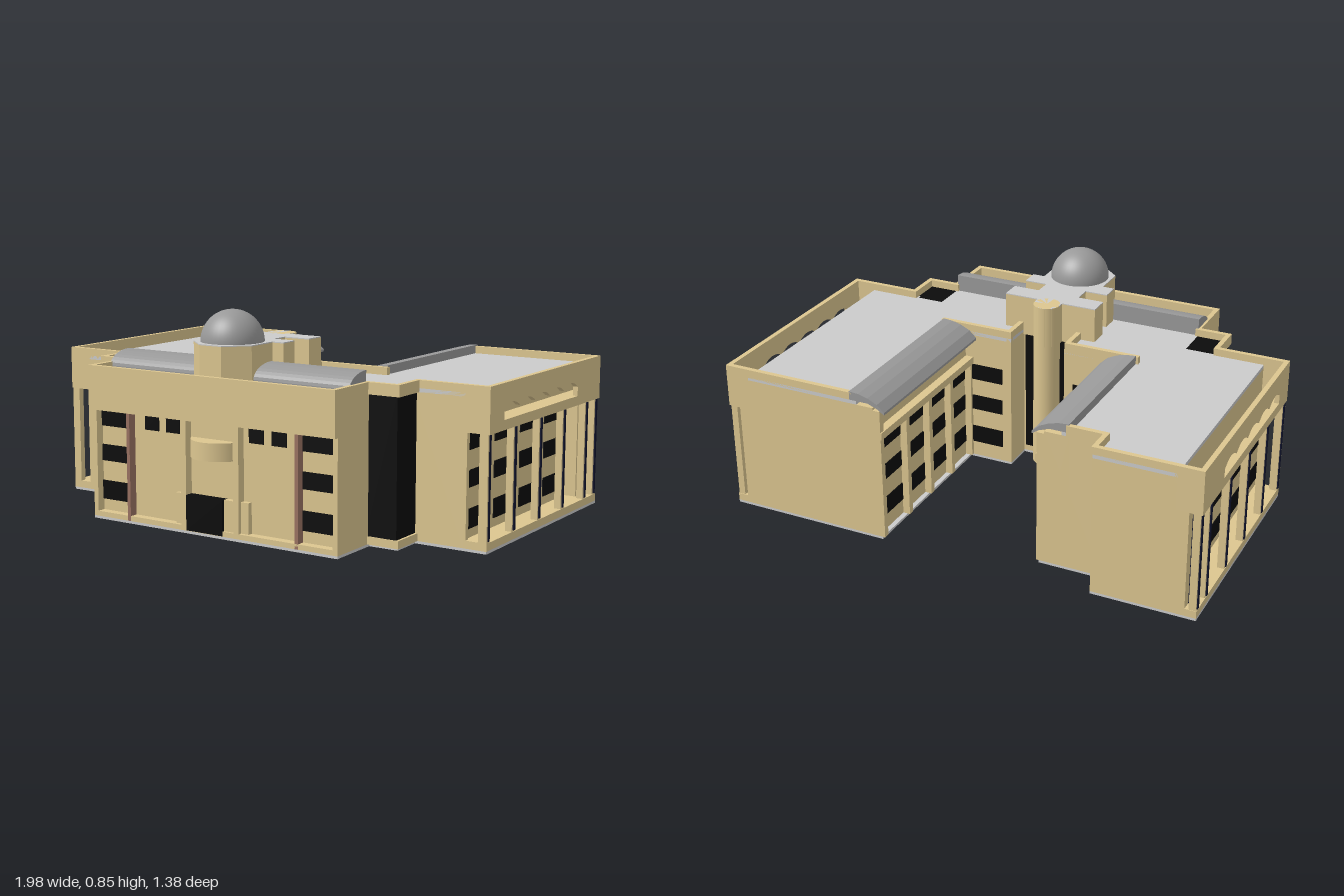
import * as THREE from 'three';

const mat = (color, side = THREE.FrontSide) => new THREE.MeshStandardMaterial({ color, side });
const STONE = mat(0xdcc690), ROOF = mat(0xcccccc), METAL = mat(0x999999, THREE.DoubleSide);
const GLASS = mat(0x0b0b0b), NAVY = mat(0x10142e), BROWN = mat(0x9a7262);
const V = (x, y) => new THREE.Vector2(x, y);

export function createModel() {
  const model = new THREE.Group();

  const add = (name, geometry, material) => {
    const mesh = new THREE.Mesh(geometry, material);
    mesh.name = name;
    model.add(mesh);
    return mesh;
  };
  // Box given by its limits on each axis
  const box = (name, m, x0, x1, y0, y1, z0, z1) => {
    const g = new THREE.BoxGeometry(Math.abs(x1 - x0), y1 - y0, Math.abs(z1 - z0));
    add(name, g.translate((x0 + x1) / 2, (y0 + y1) / 2, (z0 + z1) / 2), m);
  };
  // Plan outline of [x, z] points raised from y0 to y1
  const slab = (name, m, outline, y0, y1) => {
    const shape = new THREE.Shape(outline.map(([x, z]) => V(x, -z)));
    const g = new THREE.ExtrudeGeometry(shape, { depth: y1 - y0, bevelEnabled: false });
    add(name, g.rotateX(-Math.PI / 2).translate(0, y0, 0), m);
  };
  // Section drawn in [-z, y], run along x from x0 to x1
  const runX = (name, m, shape, x0, x1) => {
    const g = new THREE.ExtrudeGeometry(shape, { depth: x1 - x0, bevelEnabled: false });
    add(name, g.rotateY(Math.PI / 2).translate(x0, 0, 0), m);
  };
  // Wall along an axis-aligned path of [x, z] points
  const wall = (name, m, path, y0, y1, t) => {
    for (let i = 1; i < path.length; i++) {
      const [a, b] = [path[i - 1], path[i]], h = t / 2;
      box(name, m, Math.min(a[0], b[0]) - h, Math.max(a[0], b[0]) + h, y0, y1,
        Math.min(a[1], b[1]) - h, Math.max(a[1], b[1]) + h);
    }
  };

  // Plan of the building; w is the wing half-width, c the court wall, f the front wall
  const plan = (w, c, f, k) => [
    [w, -0.685], [w, 0.3], [k, 0.3], [k, 0.43], [0.57, 0.43], [0.57, f],
    [-0.57, f], [-0.57, 0.43], [-k, 0.43], [-k, 0.3], [-w, 0.3], [-w, -0.685],
    [-0.57, -0.685], [-0.57, -0.575], [-c, -0.575], [-c, 0.07], [-0.12, 0.07],
    [-0.12, 0.2], [0.12, 0.2], [0.12, 0.07], [c, 0.07], [c, -0.685]];
  slab('groundSlab', ROOF, plan(0.985, 0.31, 0.65, 0.69), 0, 0.01);
  slab('mainBody', STONE, plan(0.89, 0.33, 0.615, 0.68), 0.01, 0.57);
  slab('flatRoof', ROOF, plan(0.89, 0.4, 0.6, 0.68), 0.57, 0.585);

  // Parapets
  const z0 = 0.29;
  wall('frontParapet', STONE, [[0.98, z0], [0.69, z0], [0.69, 0.435], [0.56, 0.435], [0.56, 0.66],
    [-0.56, 0.66], [-0.56, 0.435], [-0.69, 0.435], [-0.69, z0], [-0.98, z0]], 0.57, 0.615, 0.02);
  wall('leftBackParapet', STONE, [[0.98, -0.675], [0.43, -0.675]], 0.57, 0.615, 0.02);
  wall('rightBackParapet', STONE, [[-0.98, -0.675], [-0.575, -0.675], [-0.575, -0.57], [-0.43, -0.57]],
    0.57, 0.615, 0.02);
  const rows = [[0.075, 0.15], [0.23, 0.295], [0.37, 0.438]];

  for (const s of [-1, 1]) {
    const back = s > 0 ? -0.685 : -0.575;
    wall('courtParapet', STONE, [[s * 0.43, 0.08], [s * 0.13, 0.08], [s * 0.13, 0.2]], 0.57, 0.615, 0.02);

    // Dark glazed corner between wing and front block
    box('cornerGlass', GLASS, s * 0.56, s * 0.69, 0.04, 0.585, 0.29, 0.44);
    box('cornerBase', STONE, s * 0.56, s * 0.7, 0.01, 0.04, 0.29, 0.445);

    // Outer gallery: floor, ceiling, end walls
    box('galleryFloor', STONE, s * 0.88, s * 0.985, 0.01, 0.04, -0.685, 0.3);
    box('galleryCeiling', STONE, s * 0.88, s * 0.985, 0.44, 0.47, -0.685, 0.3);
    box('galleryFrontPost', STONE, s * 0.95, s * 0.985, 0.04, 0.44, 0.28, 0.3);
    box('galleryFrontJamb', STONE, s * 0.88, s * 0.9, 0.04, 0.44, 0.28, 0.3);
    box('galleryFrontTop', STONE, s * 0.88, s * 0.985, 0.47, 0.59, 0.28, 0.3);
    box('galleryBackTop', STONE, s * 0.88, s * 0.985, 0.47, 0.59, -0.685, -0.665);
    box('galleryBackWall', STONE, s * 0.88, s * 0.94, 0.04, 0.44, -0.685, -0.585);
    box('galleryBackPanel', NAVY, s * 0.93, s * 0.955, 0.02, 0.41, -0.645, -0.605);

    // Upper gallery wall with a scalloped opening
    const shape = new THREE.Shape([V(-0.3, 0.44), V(0.685, 0.44), V(0.685, 0.615), V(-0.3, 0.615)]);
    const hole = new THREE.Path().moveTo(-0.185, 0.478);
    hole.lineTo(-0.185, 0.515);
    for (let i = 0; i < 5; i++) {
      const a = -0.185 + i * 0.13;
      hole.quadraticCurveTo(a + 0.065, 0.56, a + 0.13, 0.515);
    }
    hole.lineTo(0.465, 0.478);
    shape.holes.push(hole);
    runX('scallopedWall', STONE, shape, s > 0 ? 0.97 : -0.99, s > 0 ? 0.99 : -0.97);

    // Gallery columns with dark inlays
    for (const z of [0.285, 0.075, -0.145, -0.36, -0.575, -0.668]) {
      box('galleryColumn', STONE, s * 0.955, s * 0.983, 0.01, 0.44, z - 0.015, z + 0.015);
      box('columnInlay', NAVY, s * 0.96, s * 0.987, 0.045, 0.438, z - 0.007, z + 0.007);
    }
    for (const [a, b] of rows) {
      for (let i = 0; i < 4; i++) {
        const z = 0.19 - i * 0.217;
        box('galleryWindow', GLASS, s * 0.87, s * 0.894, a, b, z - 0.09, z + 0.09);
      }
      box('frontWindow', GLASS, s * 0.395, s * 0.565, a, b, 0.6, 0.62);
      box('courtEndWindow', GLASS, s * 0.16, s * 0.3, a, b, 0.066, 0.09);
    }
    for (const x of [0.195, 0.297])
      box('smallFrontWindow', GLASS, s * (x - 0.033), s * (x + 0.033), 0.375, 0.435, 0.6, 0.62);

    // Courtyard facade: windows, pillars, ledge and end fin
    const bay = (0.04 - back) / 4;
    for (let i = 0; i < 4; i++) {
      const z = back + 0.03 + bay * (i + 0.5);
      for (const [a, b] of rows)
        box('courtWindow', GLASS, s * 0.326, s * 0.35, a, b, z - bay * 0.4, z + bay * 0.4);
      box('courtPillar', STONE, s * 0.3, s * 0.34, 0.01, 0.45, z + bay / 2 - 0.015, z + bay / 2 + 0.01);
    }
    box('courtLedge', STONE, s * 0.295, s * 0.35, 0.44, 0.47, back, 0.075);
    box('courtEndFin', STONE, s * 0.3, s * 0.43, 0.01, 0.56, back, back + 0.025);

    // Curved eave over the courtyard facade
    const eave = new THREE.Shape([[0.43, 0.62], [0.39, 0.617], [0.35, 0.607], [0.31, 0.588], [0.28, 0.56],
      [0.28, 0.55], [0.31, 0.57], [0.35, 0.585], [0.43, 0.585]].map(([x, y]) => V(s * x, y)));
    const g = new THREE.ExtrudeGeometry(eave, { depth: 0.07 - back, bevelEnabled: false });
    add('courtEave', g.translate(0, 0, back), METAL);

    // Quarter vault on the front block
    const vault = new THREE.Shape([V(-0.55, 0.58)]);
    for (let i = 0; i <= 8; i++) {
      const a = i / 8 * Math.PI / 2;
      vault.lineTo(-0.435 - 0.115 * Math.cos(a), 0.6 + 0.057 * Math.sin(a));
    }
    vault.lineTo(-0.435, 0.58);
    runX('roofVault', METAL, vault, s > 0 ? 0.12 : -0.56, s > 0 ? 0.555 : -0.12);

    // Front facade uprights
    box('frontEndWall', STONE, s * 0.55, s * 0.57, 0.01, 0.45, 0.6, 0.65);
    box('frontPost', BROWN, s * 0.385, s * 0.4, 0.01, 0.44, 0.61, 0.65);
    box('entrancePost', STONE, s * 0.11, s * 0.135, 0.01, 0.44, 0.61, 0.65);
    box('entrancePier', STONE, s * 0.135, s * 0.17, 0.01, 0.15, 0.61, 0.635);
  }

  // Front overhang, base, door and round balcony
  box('frontOverhang', STONE, -0.57, 0.57, 0.44, 0.575, 0.6, 0.67);
  box('frontBase', STONE, -0.57, 0.57, 0.01, 0.03, 0.6, 0.65);
  box('entranceDoor', GLASS, -0.11, 0.06, 0.012, 0.15, 0.6, 0.652);
  box('entranceSide', STONE, 0.06, 0.11, 0.01, 0.15, 0.6, 0.64);
  add('balcony', new THREE.CylinderGeometry(0.115, 0.115, 0.07, 32).translate(0, 0.335, 0.575), STONE);

  // Courtyard glazing and round stair shaft
  box('stairGlass', GLASS, -0.11, 0.11, 0.04, 0.56, 0.19, 0.21);
  add('stairShaft', new THREE.CylinderGeometry(0.055, 0.055, 0.72, 24).translate(0, 0.37, 0.16), STONE);

  // Roof lantern: cross-shaped plan ending in a half octagon and a round back
  const half = [[0.05, 0.637], [0.135, 0.56], [0.135, 0.425], [0.185, 0.425], [0.185, 0.35], [0.09, 0.35],
    [0.09, 0.275], [0.2, 0.275], [0.2, 0.19], [0.055, 0.19], [0.055, 0.16], [0.039, 0.121], [0.015, 0.107]];
  const lantern = [...half, ...half.map(([x, z]) => [-x, z]).reverse()];
  slab('lanternWalls', STONE, lantern, 0.56, 0.726);
  slab('lanternRoof', ROOF, lantern, 0.726, 0.73);
  add('dome', new THREE.SphereGeometry(0.122, 40, 16, 0, Math.PI * 2, 0, Math.PI / 2)
    .translate(0, 0.73, 0.495), METAL);

  return model;
}
